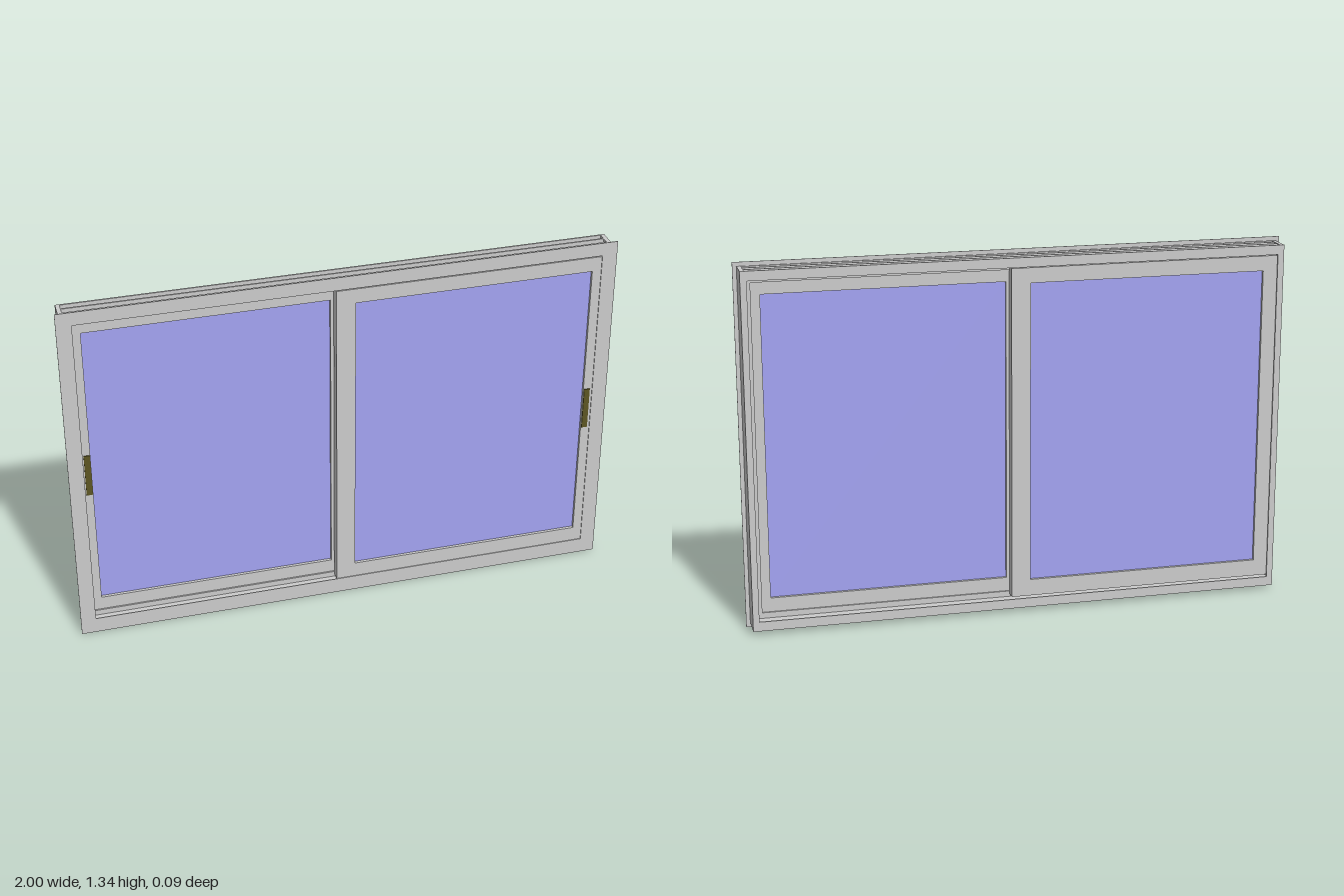
import * as THREE from 'three';

const mat = (color) => new THREE.MeshStandardMaterial({ color, flatShading: true });

// Box given by its limits on each axis
function box(parent, name, material, [x0, x1], [y0, y1], [z0, z1]) {
  const mesh = new THREE.Mesh(new THREE.BoxGeometry(x1 - x0, y1 - y0, z1 - z0), material);
  mesh.position.set((x0 + x1) / 2, (y0 + y1) / 2, (z0 + z1) / 2);
  mesh.name = name;
  parent.add(mesh);
}

const rect = (Type, x0, x1, y0, y1) => new Type([
  new THREE.Vector2(x0, y0), new THREE.Vector2(x1, y0),
  new THREE.Vector2(x1, y1), new THREE.Vector2(x0, y1),
]);

// Flat rectangular ring extruded from z0 to z1
function ring(parent, name, material, outer, inner, z0, z1) {
  const shape = rect(THREE.Shape, ...outer);
  shape.holes.push(rect(THREE.Path, ...inner));
  const geo = new THREE.ExtrudeGeometry(shape, { depth: z1 - z0, bevelEnabled: false });
  const mesh = new THREE.Mesh(geo, material);
  mesh.position.z = z0;
  mesh.name = name;
  parent.add(mesh);
}

export function createModel() {
  const model = new THREE.Group();
  model.name = 'slidingWindow';
  const grey = mat(0xcccccc), blue = mat(0xa3a3f2), olive = mat(0x5c5522);
  const H = 1.34;

  const frame = new THREE.Group();
  frame.name = 'outerFrame';
  model.add(frame);

  // Thin nailing flange around the front
  ring(frame, 'frontFlange', grey, [-1, 1, 0, H], [-0.945, 0.945, 0.06, 1.29], 0.044, 0.047);

  // Head and sill: a web with outward walls and inward track ribs
  for (const top of [true, false]) {
    const name = top ? 'head' : 'sill';
    const span = (a, b) => (top ? [H - b, H - a] : [a, b]); // measured from the outer edge
    const rail = (part, y, z) => box(frame, name + part, grey, [-0.97, 0.97], y, z);
    rail('Web', span(0.038, 0.045), [-0.047, 0.044]);
    for (const z of [-0.047, -0.018, 0.012, 0.038]) rail('OuterWall', span(0.015, 0.04), [z, z + 0.006]);
    rail('BackLip', span(0.04, 0.05), [-0.047, -0.042]);
    rail('MiddleTrack', span(0.04, 0.066), [0.001, 0.007]);
  }

  // Jambs: plain outer plate with inward ribs
  for (const s of [-1, 1]) {
    const across = (a, b) => (s > 0 ? [a, b] : [-b, -a]);
    box(frame, 'jambPlate', grey, across(0.97, 0.985), [0.015, 1.325], [-0.047, 0.044]);
    box(frame, 'jambBackLip', grey, across(0.962, 0.97), [0.045, 1.295], [-0.047, -0.042]);
    box(frame, 'jambMiddleTrack', grey, across(0.945, 0.97), [0.045, 1.295], [0.001, 0.007]);
  }

  // Two sashes: the back one on -x, the front one on +x
  const sashes = [
    { name: 'backSash', s: -1, z0: -0.034, z1: 0 },
    { name: 'frontSash', s: 1, z0: 0.009, z1: 0.043 },
  ];
  for (const { name, s, z0, z1 } of sashes) {
    const sash = new THREE.Group();
    sash.name = name;
    model.add(sash);
    const across = (a, b) => (s > 0 ? [a, b] : [-b, -a]);
    const hole = [...across(0.04, 0.912), 0.117, 1.23];
    ring(sash, 'sashFrame', grey, [...across(-0.03, 0.966), 0.055, 1.285], hole, z0, z1);
    box(sash, 'glassPane', blue, across(0.035, 0.917), [0.112, 1.235], [z0 + 0.011, z1 - 0.011]);
    // Interlock strip on the meeting stile
    const inner = s > 0 ? [z0 - 0.004, z0] : [z1, z1 + 0.004];
    box(sash, 'interlock', grey, across(-0.03, -0.022), [0.07, 1.27], inner);
    // Pull handle on the outer stile
    box(sash, 'handle', olive, across(0.914, 0.936), [0.575, 0.74], [z1 - 0.004, z1 + 0.0035]);
  }
  return model;
}
